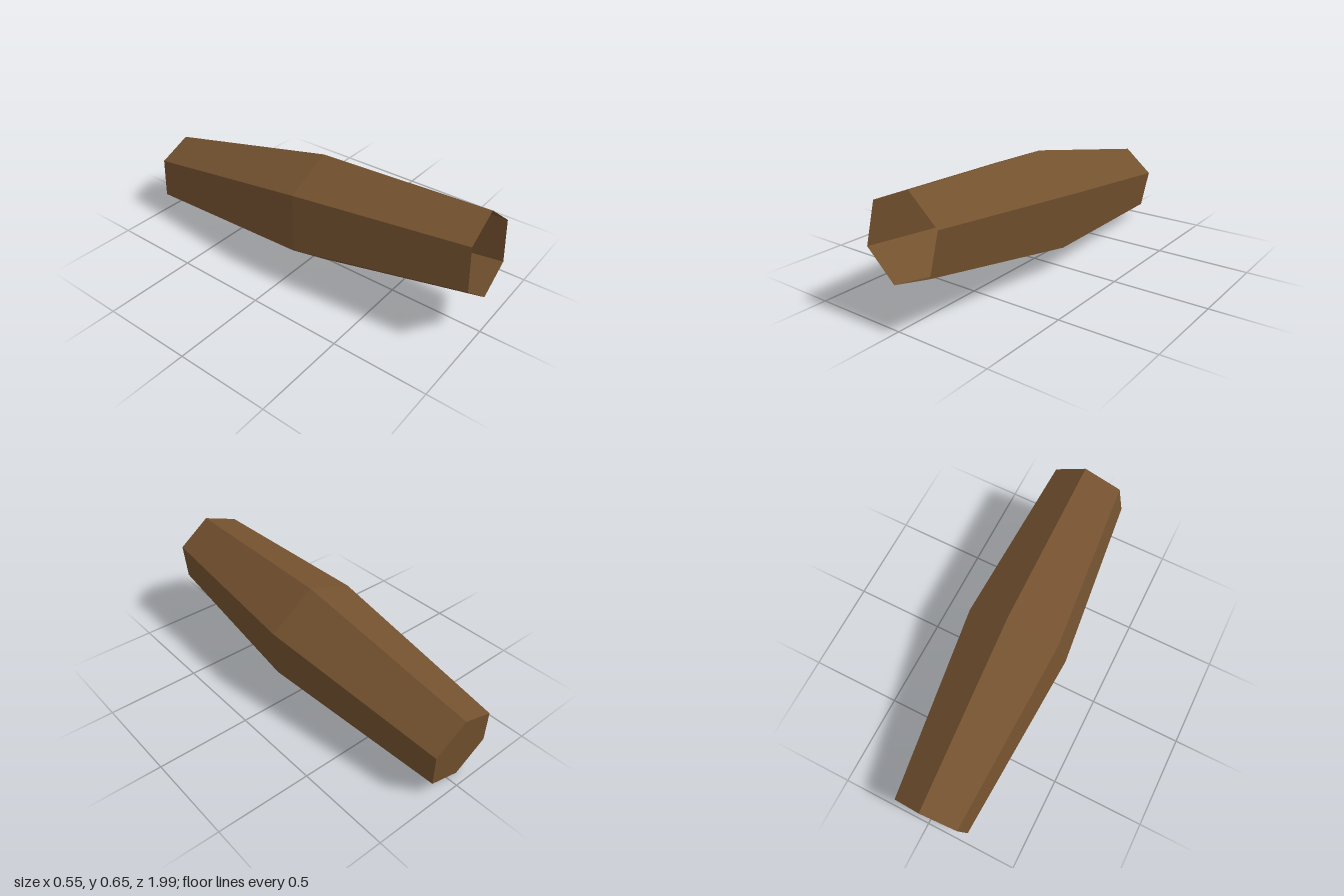
import * as THREE from 'three';

const SIDES = 6;
const TWIST = THREE.MathUtils.degToRad(-8.7);

// Six-sided lathe whose profile [radius, distance] runs along +z
function hexLathe(name, profile, material) {
  const points = profile.map(([r, d]) => new THREE.Vector2(r, d));
  const geometry = new THREE.LatheGeometry(points, SIDES, TWIST, Math.PI * 2);
  geometry.rotateX(Math.PI / 2);
  const mesh = new THREE.Mesh(geometry, material);
  mesh.name = name;
  return mesh;
}

export function createModel() {
  const wood = new THREE.MeshStandardMaterial({ color: 0x73512f });
  wood.name = 'brown wood';
  wood.flatShading = true;
  wood.side = THREE.DoubleSide;

  const back = [0.2075, -1.029];
  const belly = [0.296, 0];
  const mouth = [0.217, 0.929];

  const barrel = new THREE.Group();
  barrel.name = 'barrel';
  // Thin bulging wall, open at the front
  barrel.add(hexLathe('barrelWall', [back, belly, mouth], wood));
  // Flat lid closing the back end
  barrel.add(hexLathe('backLid', [[0, back[1]], back], wood));

  // Lying barrel with its mouth raised and turned slightly to its left
  const centre = new THREE.Vector3(-0.0015, 0.3265, 0.05);
  const axis = new THREE.Vector3(0.05, 0.229, 1.944);
  barrel.position.copy(centre);
  barrel.lookAt(centre.clone().add(axis));

  const model = new THREE.Group();
  model.name = 'openBarrel';
  model.add(barrel);
  return model;
}
